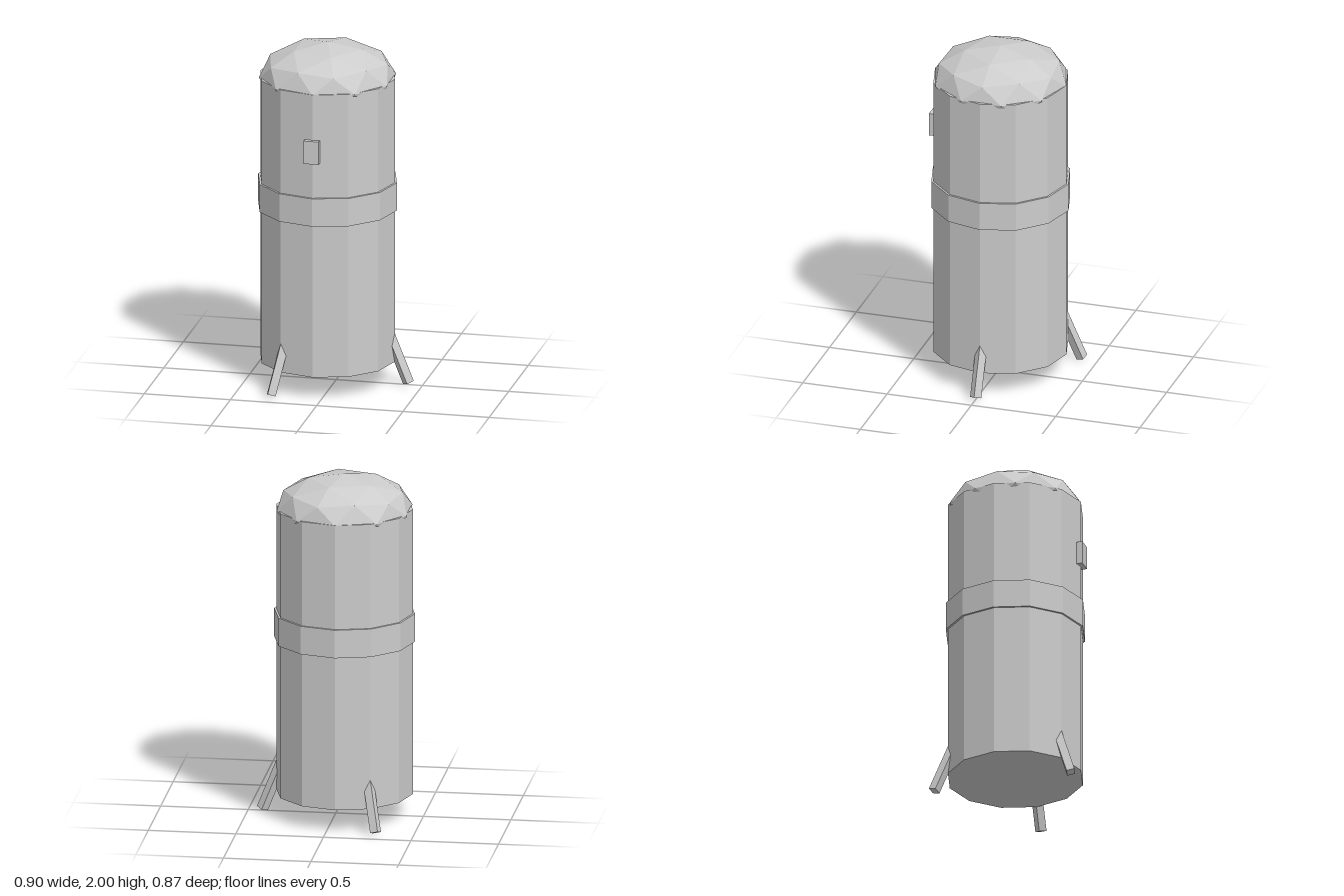
import * as THREE from 'three';

const metal = new THREE.MeshStandardMaterial({ color: 0xcccccc });
metal.name = 'grey metal';

// Separate every face so each facet is flat
function facetedMesh(name, geometry) {
  const flat = geometry.index ? geometry.toNonIndexed() : geometry;
  flat.computeVertexNormals();
  const mesh = new THREE.Mesh(flat, metal);
  mesh.name = name;
  return mesh;
}

export function createModel() {
  const model = new THREE.Group();
  model.name = 'tank';
  const body = new THREE.Group();
  body.name = 'tankBody';
  body.position.x = -0.05;
  model.add(body);

  // Twelve-sided shell
  const bottom = 0.13, top = 1.805, radius = 0.39;
  const shell = facetedMesh('shell', new THREE.CylinderGeometry(radius, radius, top - bottom, 12));
  shell.position.y = (top + bottom) / 2;
  body.add(shell);

  // Raised band round the middle
  const band = facetedMesh('band', new THREE.CylinderGeometry(0.402, 0.402, 0.165, 12));
  band.position.y = 1.11;
  body.add(band);

  // Squashed faceted dome, one icosahedron corner pointing up
  const domeShape = new THREE.IcosahedronGeometry(radius, 1);
  domeShape.rotateZ(-Math.atan(2 / (1 + Math.sqrt(5))));
  domeShape.scale(1, 0.2 / radius, 1);
  const dome = facetedMesh('dome', domeShape);
  dome.position.y = 1.8;
  body.add(dome);

  // Small control plate on the front
  const plate = facetedMesh('frontPlate', new THREE.BoxGeometry(0.087, 0.135, 0.05));
  plate.position.set(-0.002, 1.468, 0.388);
  body.add(plate);

  // Three splayed legs with a diamond section
  const legLength = 0.4, splay = 0.38;
  for (let i = 0; i < 3; i++) {
    const legShape = new THREE.CylinderGeometry(0.033, 0.033, legLength, 4);
    legShape.translate(0, legLength / 2, 0);
    legShape.rotateZ(splay);
    legShape.translate(0.469, 0.0125, 0);
    legShape.rotateY((i * Math.PI * 2) / 3);
    body.add(facetedMesh('leg' + (i + 1), legShape));
  }

  return model;
}
